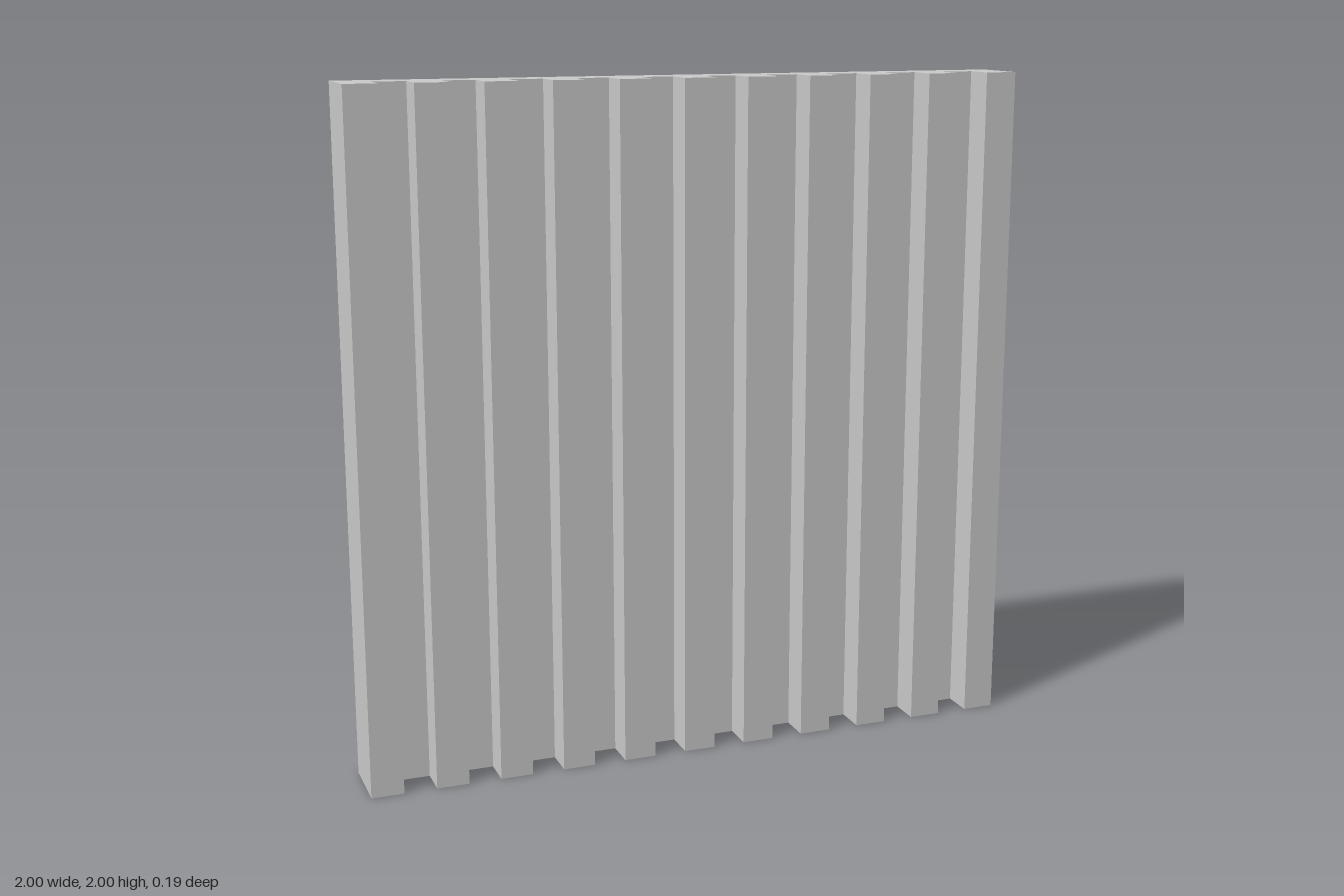
import * as THREE from 'three';

const RIBS = 11;
const UNIT = 2 / (2 * RIBS - 1); // rib and groove share one width
const HEIGHT = 2;

export function createModel() {
  const group = new THREE.Group();
  group.name = 'ribbedPanel';

  // Plan section: flat back, square ribs along the front (shape -y becomes +z)
  const section = new THREE.Shape();
  section.moveTo(1, UNIT);
  section.lineTo(-1, UNIT);
  for (let i = 0; i < RIBS; i++) {
    const x = -1 + 2 * i * UNIT;
    if (i > 0) section.lineTo(x, 0);
    section.lineTo(x, -UNIT);
    section.lineTo(x + UNIT, -UNIT);
    if (i < RIBS - 1) section.lineTo(x + UNIT, 0);
  }
  section.closePath();

  // Raise the section to the full height
  const geometry = new THREE.ExtrudeGeometry(section, { depth: HEIGHT, bevelEnabled: false });
  geometry.rotateX(-Math.PI / 2);

  const panel = new THREE.Mesh(
    geometry,
    new THREE.MeshStandardMaterial({ color: 0xcccccc, flatShading: true })
  );
  panel.name = 'panel';
  group.add(panel);
  return group;
}
